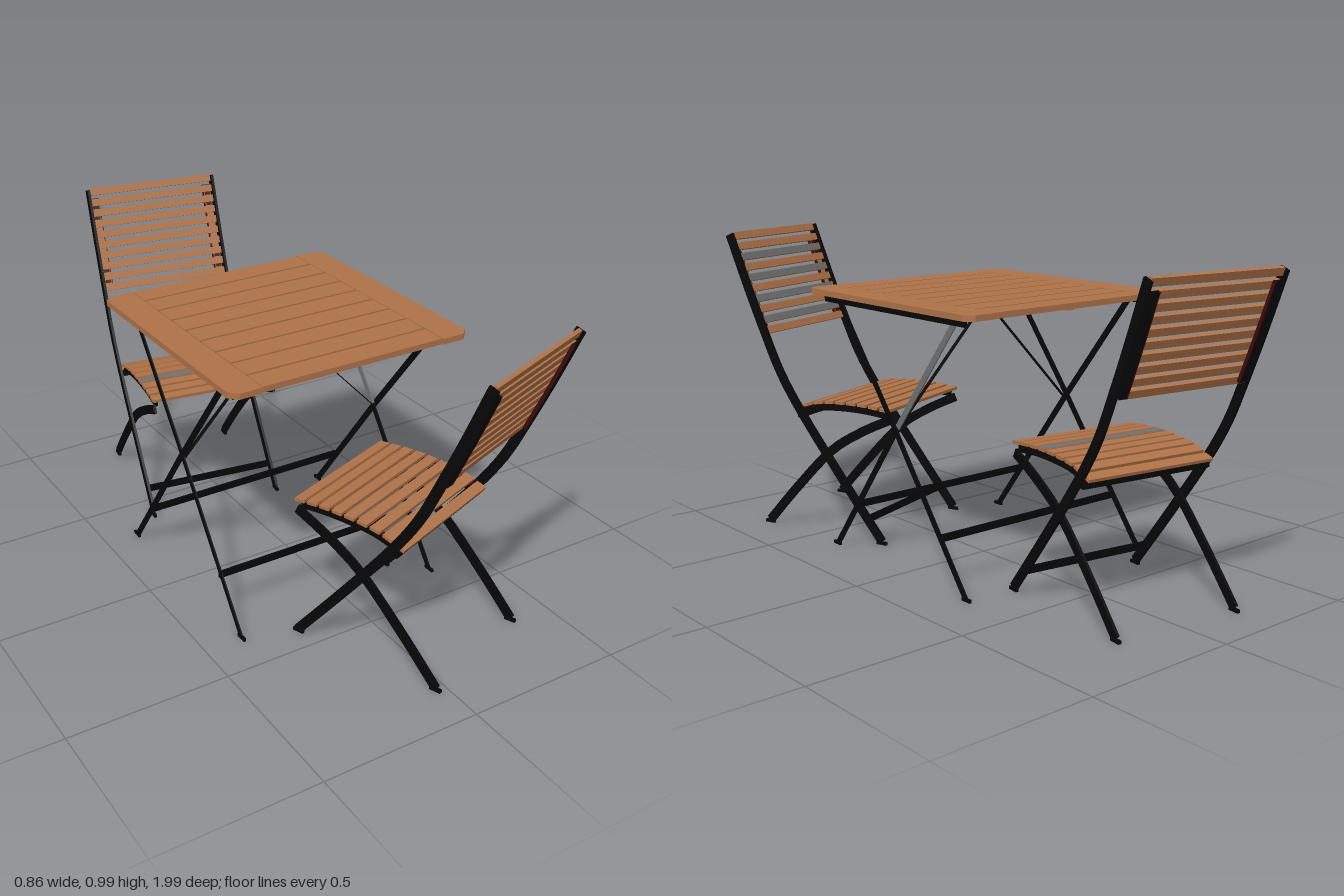
import * as THREE from 'three';

const wood = new THREE.MeshStandardMaterial({ name: 'wood', color: 0xae7248 });
const metal = new THREE.MeshStandardMaterial({ name: 'blackMetal', color: 0x070707 });
const red = new THREE.MeshStandardMaterial({ name: 'darkRed', color: 0x3c0b0a });
const grey = new THREE.MeshStandardMaterial({ name: 'grey', color: 0x6f7272 });

function add(parent, name, geometry, material, x = 0, y = 0, z = 0) {
  const mesh = new THREE.Mesh(geometry, material);
  mesh.name = name;
  mesh.position.set(x, y, z);
  parent.add(mesh);
  return mesh;
}
const box = (w, h, d) => new THREE.BoxGeometry(w, h, d);

// Smooth curve through [z, y] points
function curve(points) {
  return new THREE.SplineCurve(points.map(([z, y]) => new THREE.Vector2(z, y)));
}

// Flat bar following a curve in the z-y plane, with thickness along x
function bar(path, width, thickness, steps = 14) {
  const a = [], b = [];
  for (let i = 0; i <= steps; i++) {
    const p = path.getPoint(i / steps), t = path.getTangent(i / steps);
    const n = new THREE.Vector2(-t.y, t.x).multiplyScalar(width / 2);
    a.push(p.clone().add(n));
    b.unshift(p.clone().sub(n));
  }
  const g = new THREE.ExtrudeGeometry(new THREE.Shape([...a, ...b]), { depth: thickness, bevelEnabled: false });
  return g.translate(0, 0, -thickness / 2).rotateY(-Math.PI / 2);
}

// Point and lean of a curve at height y
function atHeight(path, y) {
  let lo = 0, hi = 1;
  for (let i = 0; i < 25; i++) {
    const mid = (lo + hi) / 2;
    if (path.getPoint(mid).y > y) lo = mid; else hi = mid;
  }
  const t = path.getTangent(lo);
  return { z: path.getPoint(lo).x, lean: Math.atan2(-t.x, -t.y) };
}

// Folding chair facing +z, top of its back at z = 0; the grey lists pick slats with a grey face
function createChair(name, greyBack, greySeat) {
  const chair = new THREE.Group();
  chair.name = name;
  const backPath = curve([[0.01, 0.987], [0.077, 0.82], [0.146, 0.66], [0.205, 0.535], [0.29, 0.405], [0.44, 0.21], [0.6, 0.01]]);
  const legPath = curve([[0.62, 0.415], [0.51, 0.362], [0.39, 0.285], [0.25, 0.145], [0.128, 0.01]]);
  const seatPath = curve([[0.265, 0.422], [0.33, 0.444], [0.42, 0.454], [0.52, 0.455], [0.608, 0.448]]);
  // Curve running behind the back slats
  const behind = (offset) => curve([0.955, 0.87, 0.77, 0.665].map((y) => [atHeight(backPath, y).z - offset, y]));
  // Curve running below the seat slats
  const below = (drop) => curve([0, 0.25, 0.5, 0.75, 1].map((u) => seatPath.getPointAt(u)).map((p) => [p.x, p.y - drop]));

  for (const s of [-1, 1]) {
    add(chair, 'backFrame', bar(backPath, 0.03, 0.009, 24), metal, s * 0.2275);
    add(chair, 'rearLeg', bar(legPath, 0.03, 0.009), metal, s * 0.211);
    add(chair, 'frontFoot', box(0.01, 0.01, 0.036), metal, s * 0.2275, 0.005, 0.6);
    add(chair, 'rearFoot', box(0.01, 0.01, 0.036), metal, s * 0.211, 0.005, 0.128);
    // Black strip joining the back slats, with a wooden face and a red inner edge
    add(chair, 'backStrip', bar(behind(0.013), 0.009, 0.025, 8), metal, s * 0.207);
    add(chair, 'backStripFace', bar(behind(0.0075), 0.002, 0.025, 8), wood, s * 0.207);
    add(chair, 'backStripEdge', bar(behind(0.0125), 0.011, 0.003, 8), red, s * 0.193);
    // Red fixing plates in some of the gaps between back slats
    for (const gap of [0, 1, 6, 7]) {
      const y = 0.689 + gap * 0.0342;
      const p = atHeight(backPath, y);
      add(chair, 'fixingPlate', box(0.02, 0.012, 0.002), red, s * 0.207, y, p.z - 0.006).rotation.x = p.lean;
    }
    // Rail under the seat with red spacers on top
    add(chair, 'seatRail', bar(below(0.018), 0.022, 0.012), metal, s * 0.202);
    add(chair, 'seatSpacer', bar(below(0.005), 0.004, 0.014), red, s * 0.202);
  }

  // Back slats
  for (let i = 0; i < 10; i++) {
    const y = 0.672 + i * 0.0342;
    const p = atHeight(backPath, y);
    const slat = add(chair, 'backSlat', box(0.444, 0.024, 0.012), wood, 0, y, p.z);
    slat.rotation.x = p.lean;
    if (greyBack.includes(i)) add(slat, 'slatFront', box(0.43, 0.023, 0.001), grey, 0, 0, 0.0062);
  }

  // Seat slats on a gently curved seat
  for (let i = 0; i < 9; i++) {
    const p = seatPath.getPointAt(i / 8), t = seatPath.getTangentAt(i / 8);
    const slat = add(chair, 'seatSlat', box(0.436, 0.01, 0.033), wood, 0, p.y, p.x);
    slat.rotation.x = -Math.atan2(t.y, t.x);
    if (greySeat.includes(i)) add(slat, 'slatTop', box(0.43, 0.001, 0.03), grey, 0, 0.0052, 0);
  }

  // Cross bars behind the seat and between the front feet
  add(chair, 'seatCrossBar', box(0.446, 0.018, 0.014), metal, 0, 0.399, 0.275);
  add(chair, 'footCrossBar', box(0.446, 0.024, 0.006), metal, 0, 0.078, 0.545);
  return chair;
}

// Folding table centred on its own x and z
function createTable() {
  const table = new THREE.Group();
  table.name = 'table';
  const half = 0.4, c = 0.025;

  // Side boards with clipped outer corners, and angle rails below them
  for (const s of [-1, 1]) {
    const pts = [[0.304, -half], [half - c, -half], [half, -half + c], [half, half - c], [half - c, half], [0.304, half]];
    const shape = new THREE.Shape(pts.map(([x, z]) => new THREE.Vector2(s * x, z)));
    const g = new THREE.ExtrudeGeometry(shape, { depth: 0.018, bevelEnabled: false }).rotateX(-Math.PI / 2);
    add(table, 'sideBoard', g, wood, 0, 0.827, 0);
    add(table, 'railFlange', box(0.03, 0.004, 0.72), metal, s * 0.352, 0.825, 0);
    add(table, 'railWeb', box(0.004, 0.024, 0.7), metal, s * 0.366, 0.815, 0);
  }

  // Top slats
  const pitch = (2 * half) / 9;
  for (let i = 0; i < 9; i++) {
    add(table, 'topSlat', box(0.602, 0.018, pitch - 0.009), wood, 0, 0.836, (i - 4) * pitch);
  }
  add(table, 'centreBatten', box(0.028, 0.006, 0.76), wood, 0, 0.824, 0);
  add(table, 'centreBar', box(0.03, 0.006, 0.58), metal, 0, 0.818, 0);

  // Crossed legs, feet and slanted struts
  for (const s of [-1, 1]) {
    for (const [d, x] of [[1, 0.36], [-1, 0.348]]) {
      const top = [d * 0.28, 0.812], middle = [0, 0.454], bottom = [-d * 0.335, 0.007];
      const upper = s === 1 && d === -1 ? grey : metal;
      add(table, 'upperLeg', bar(curve([top, middle]), 0.02, 0.004, 1), upper, s * x);
      add(table, 'lowerLeg', bar(curve([middle, bottom]), 0.02, 0.004, 1), metal, s * x);
      add(table, 'foot', box(0.008, 0.01, 0.036), metal, s * x, 0.005, -d * 0.34);
    }
    const strut = add(table, 'strut', box(0.5, 0.002, 0.014), metal, s * 0.173, 0.632, 0);
    strut.rotation.z = -s * Math.atan2(0.36, 0.346);
  }
  for (const d of [-1, 1]) {
    add(table, 'legCrossBar', box(0.71, 0.022, 0.008), metal, 0, 0.162, d * 0.222);
  }
  return table;
}

export function createModel() {
  const model = new THREE.Group();
  model.name = 'gardenTableSet';

  const table = createTable();
  table.position.set(-0.03, 0, 0.027);

  const frontChair = createChair('frontChair', [1, 3, 5, 7], []);
  frontChair.position.set(0.2075, 0, 0.9075);
  frontChair.rotation.y = Math.PI + THREE.MathUtils.degToRad(20.3);

  const backChair = createChair('backChair', [], [5]);
  backChair.position.set(0.025, 0, -0.957);
  backChair.rotation.y = THREE.MathUtils.degToRad(-8.3);

  model.add(table, frontChair, backChair);
  return model;
}
